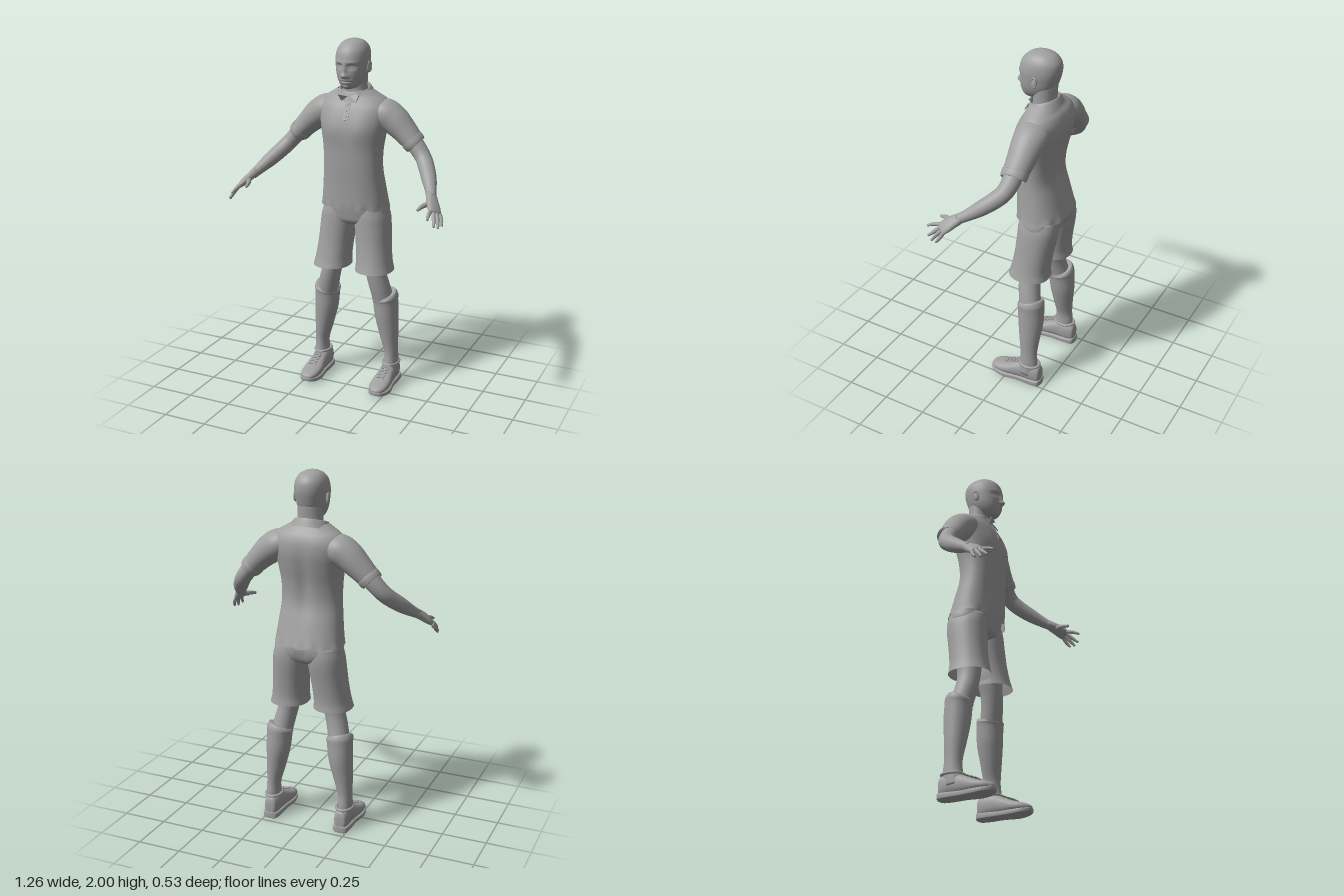
import * as THREE from 'three';

const grey = new THREE.MeshStandardMaterial({ color: 0xa0a0a0, side: THREE.DoubleSide });
grey.name = 'plain grey';
const V = (x, y, z) => new THREE.Vector3(x, y, z);
const X = V(1, 0, 0), Y = V(0, 1, 0), Z = V(0, 0, 1);

function add(parent, name, geometry, x = 0, y = 0, z = 0) {
  const m = new THREE.Mesh(geometry, grey);
  m.name = name;
  m.position.set(x, y, z);
  parent.add(m);
  return m;
}

// Smooth skin through rows [x, y, z, half width, half depth]; s = -1 mirrors it.
function loft(rows, { s = 1, side = X, axis = null, n = 28, steps = 5, power = 2, caps = [1, 1], warp = null } = {}) {
  const spline = pts => new THREE.CatmullRomCurve3(pts, false, 'catmullrom', 0.5);
  const path = spline(rows.map(r => V(r[0] * s, r[1], r[2])));
  const size = spline(rows.map(r => V(r[3], r[4], 0)));
  const count = (rows.length - 1) * steps;
  const pos = [], idx = [];
  const round = c => Math.sign(c) * Math.abs(c) ** (2 / power);
  for (let i = 0; i <= count; i++) {
    const c = path.getPoint(i / count), r = size.getPoint(i / count);
    const t = axis || path.getTangent(i / count);
    const u = V(side.x * s, side.y, side.z);
    u.addScaledVector(t, -u.dot(t)).normalize();
    const v = t.clone().cross(u);
    for (let j = 0; j < n; j++) {
      const a = j / n * Math.PI * 2;
      const p = c.clone().addScaledVector(u, r.x * round(Math.cos(a))).addScaledVector(v, r.y * round(Math.sin(a)));
      if (warp) warp(p);
      pos.push(p.x, p.y, p.z);
      if (i < count) {
        const A = i * n + j, B = i * n + (j + 1) % n;
        idx.push(A, B, A + n, B, B + n, A + n);
      }
    }
  }
  [0, count].forEach((ring, k) => {
    if (!caps[k]) return;
    const c = path.getPoint(k), id = pos.length / 3;
    if (warp) warp(c);
    pos.push(c.x, c.y, c.z);
    for (let j = 0; j < n; j++) {
      const A = ring * n + j, B = ring * n + (j + 1) % n;
      idx.push(...(k ? [id, A, B] : [id, B, A]));
    }
  });
  const g = new THREE.BufferGeometry();
  g.setAttribute('position', new THREE.Float32BufferAttribute(pos, 3));
  g.setIndex(idx);
  g.computeVertexNormals();
  return g;
}

// Level section on the centre line: height, front z, back z, half width
const level = ([y, f, b, w]) => [0, y, (f + b) / 2, w, (f - b) / 2];
const bell = (d, w) => Math.exp(-((d / w) ** 2));

// Facial relief: x, y, width, height, push along z
const features = [
  [0, 1.845, .011, .034, .012], [0, 1.815, .015, .013, .02], [.014, 1.811, .009, .009, .008],
  [.036, 1.863, .02, .013, -.014], [.036, 1.861, .012, .007, .008], [.036, 1.884, .024, .008, .005],
  [0, 1.791, .026, .006, .008], [0, 1.784, .026, .0025, -.006], [0, 1.776, .022, .006, .008], [0, 1.752, .02, .011, .008],
];
function face(p) {
  if (p.z < -.06) return;
  const x = Math.abs(p.x), y = p.y;
  for (const [fx, fy, w, h, d] of features) p.z += d * bell(x - fx, w) * bell(y - fy, h);
}

// Cloth shaping: spine hollow, chest swell, wavy hem
function cloth(p) {
  const a = Math.atan2(p.z + .12, p.x);
  if (p.z < -.12) p.z += .014 * bell(p.x, .035) * bell(p.y - 1.4, .2);
  else p.z += .008 * bell(Math.abs(p.x) - .09, .06) * bell(p.y - 1.53, .07);
  const hem = bell(p.y - 1.07, .03);
  p.y += hem * .006 * Math.sin(a * 9);
  p.z += hem * .004 * Math.sin(a * 14);
}

function buildHead(g) {
  add(g, 'head', loft([
    [1.738, -.01, -.07, .015], [1.746, .002, -.1, .038], [1.77, .016, -.14, .06], [1.805, .023, -.17, .076],
    [1.85, .026, -.188, .085], [1.9, .026, -.2, .089], [1.945, .012, -.196, .082], [1.978, -.02, -.17, .061],
    [1.994, -.055, -.135, .034], [2, -.09, -.1, .004]].map(level), { axis: Y, n: 96, steps: 9, power: 2.15, warp: face }));
  add(g, 'neck', loft([[1.62, -.04, -.19, .085], [1.69, -.045, -.18, .075], [1.74, -.05, -.173, .069], [1.83, -.04, -.178, .07]].map(level), { axis: Y }));
  for (const s of [1, -1]) {
    const ear = add(g, 'ear', new THREE.SphereGeometry(1, 16, 12), s * .087, 1.852, -.093);
    ear.scale.set(.009, .031, .018);
    ear.rotation.set(-.2, s * -.3, 0);
    const rim = add(g, 'earRim', new THREE.TorusGeometry(.017, .004, 8, 20), s * .092, 1.855, -.094);
    rim.rotation.y = Math.PI / 2 - s * .3;
    rim.scale.set(.9, 1.5, 1);
  }
}

function buildShirt(g) {
  add(g, 'shirtBody', loft([
    [1.07, .01, -.264, .196], [1.1, .012, -.256, .19], [1.2, .015, -.228, .178], [1.3, .02, -.202, .169],
    [1.4, .024, -.207, .17], [1.5, .028, -.228, .184], [1.57, .016, -.24, .198], [1.63, -.005, -.238, .205],
    [1.675, -.03, -.222, .18], [1.702, -.042, -.2, .14], [1.727, -.045, -.185, .098]].map(level),
  { axis: Y, n: 72, power: 2.3, caps: [0, 0], warp: cloth }));
  // Collar band folds over and dips at the front
  add(g, 'collar', loft([[1.7, -.035, -.185, .085], [1.75, -.042, -.184, .082], [1.752, -.037, -.19, .088], [1.71, -.02, -.207, .113]].map(level),
    { axis: Y, n: 40, caps: [0, 0], warp: p => { p.y -= .3 * (p.z + .17); } }));
  const flap = new THREE.Shape([[0, .028], [.055, .035], [.046, -.012]].map(p => new THREE.Vector2(...p)));
  for (const s of [1, -1]) {
    const f = add(g, 'collarFlap', new THREE.ExtrudeGeometry(flap, { depth: .006, bevelEnabled: false }), 0, 1.676, -.026);
    f.rotation.x = -.55;
    if (s < 0) {
      f.rotation.y = Math.PI;
      f.rotation.x = .55;
    }
  }
  const placket = add(g, 'placket', new THREE.BoxGeometry(.03, .11, .006), 0, 1.625, -.005);
  placket.rotation.x = -.42;
  for (const y of [1.655, 1.625, 1.595]) {
    const b = add(g, 'button', new THREE.CylinderGeometry(.005, .005, .005, 12), 0, y, -.001 - (y - 1.625) * .45);
    b.rotation.x = Math.PI / 2 - .42;
  }
  for (const s of [1, -1]) {
    add(g, 'sleeve', loft([[.1, 1.635, -.13, .05, .07], [.165, 1.605, -.13, .08, .092], [.225, 1.568, -.13, .08, .086],
      [.285, 1.515, -.128, .068, .076], [.348, 1.452, -.122, .056, .066]], { s, side: V(.7, .7, 0), n: 36, caps: [1, 0] }));
    add(g, 'sleeveCuff', loft([[.327, 1.473, -.124, .058, .069], [.332, 1.468, -.124, .062, .072], [.35, 1.45, -.122, .059, .07],
      [.354, 1.446, -.122, .054, .063]], { s, side: V(.7, .7, 0), n: 36, caps: [0, 0] }));
  }
}

function buildArm(g, s) {
  add(g, 'arm', loft([[.28, 1.52, -.125, .048, .052], [.345, 1.455, -.122, .047, .051], [.4, 1.392, -.106, .044, .047],
    [.435, 1.35, -.07, .043, .045], [.475, 1.303, -.01, .04, .041], [.508, 1.262, .05, .031, .032], [.532, 1.232, .1, .025, .026]], { s, side: V(.7, .7, 0) }));
  add(g, 'palm', loft([[.52, 1.247, .077, .026, .024], [.548, 1.215, .125, .036, .021], [.567, 1.193, .152, .039, .018],
    [.583, 1.174, .175, .036, .011]], { s, side: V(.04, -.025, -.055), power: 2.4 }));
  const fingers = {
    thumb: [.538, 1.215, .13, .514, 1.207, .18, .503, 1.197, .222],
    indexFinger: [.56, 1.188, .19, .565, 1.18, .228, .572, 1.165, .262],
    middleFinger: [.575, 1.181, .182, .59, 1.15, .215, .6, 1.125, .243],
    ringFinger: [.588, 1.173, .168, .604, 1.14, .195, .614, 1.112, .215],
    littleFinger: [.598, 1.168, .15, .613, 1.14, .165, .622, 1.115, .182],
  };
  for (const [name, f] of Object.entries(fingers)) {
    const r = name === 'thumb' ? .014 : .011;
    add(g, name, loft([[...f.slice(0, 3), r, r], [...f.slice(3, 6), r * .9, r * .9], [...f.slice(6), r * .55, r * .55]], { s, side: Y, n: 12 }));
  }
}

function buildLeg(g, s) {
  add(g, 'shortsLeg', loft([[.095, 1.07, -.135, .085, .105], [.1, 1.02, -.134, .097, .112], [.105, .96, -.13, .1, .112], [.116, .85, -.116, .098, .107],
    [.125, .76, -.103, .1, .109], [.13, .707, -.098, .107, .118]], { s, axis: V(0, -1, 0), power: 2.2, n: 36, caps: [1, 0] }));
  add(g, 'leg', loft([[.115, .9, -.11, .078, .085], [.125, .76, -.105, .064, .07], [.138, .68, -.102, .057, .063], [.158, .6, -.11, .058, .062],
    [.18, .5, -.13, .06, .062]], { s }));
  add(g, 'sock', loft([[.177, .555, -.128, .068, .068], [.181, .54, -.132, .076, .077], [.184, .51, -.135, .072, .075], [.191, .42, -.138, .067, .073],
    [.206, .31, -.138, .054, .06], [.22, .21, -.14, .039, .05], [.222, .14, -.14, .04, .055], [.22, .07, -.13, .045, .06]], { s }));
  // Shoe, swept from heel to toe
  add(g, 'shoeUpper', loft([[.216, .065, -.217, .018, .03], [.216, .07, -.208, .034, .054], [.216, .075, -.17, .043, .063], [.216, .075, -.115, .045, .06],
    [.217, .065, -.06, .05, .048], [.217, .053, 0, .056, .034], [.217, .047, .055, .05, .024], [.217, .042, .088, .03, .015],
    [.217, .04, .097, .008, .006]], { s, side: X, axis: Z, power: 2.4 }));
  add(g, 'shoeSole', loft([[.216, .02, -.222, .018, .018], [.216, .019, -.208, .042, .019], [.216, .018, -.15, .048, .018], [.216, .018, -.08, .049, .016],
    [.218, .018, 0, .06, .016], [.218, .022, .055, .054, .014], [.218, .027, .088, .034, .012], [.218, .03, .1, .012, .008]],
  { s, axis: Z, power: 5 }));
  add(g, 'shoeOpening', new THREE.TorusGeometry(.044, .008, 8, 28).rotateX(Math.PI / 2).scale(1, 1, 1.3), s * .219, .132, -.145);
  for (let i = 0; i < 4; i++) for (const d of [1, -1]) {
    const z = -.07 + i * .024;
    const lace = add(g, 'lace', new THREE.CapsuleGeometry(.004, .042, 4, 8).rotateZ(Math.PI / 2), s * .217, .122 - i * .0095, z);
    lace.rotation.set(.45, d * .4, 0);
  }
  for (const d of [1, -1]) {
    const bow = add(g, 'laceBow', new THREE.TorusGeometry(.011, .003, 6, 16), s * .217 + d * .013, .126, -.07);
    bow.rotation.x = -1;
  }
}

export function createModel() {
  const g = new THREE.Group();
  g.name = 'standingMan';
  buildHead(g);
  buildShirt(g);
  add(g, 'shortsSeat', loft([[1.14, 0, -.235, .172], [1.08, -.012, -.252, .187], [1.03, -.02, -.252, .194], [.99, -.03, -.235, .17],
    [.965, -.06, -.2, .09]].map(level), { axis: V(0, -1, 0), n: 48, power: 2.3,
    warp: p => { if (p.z < -.12) p.z += .015 * bell(p.x, .025) * bell(p.y - 1.02, .05); } }));
  for (const s of [1, -1]) {
    buildArm(g, s);
    buildLeg(g, s);
  }
  return g;
}
